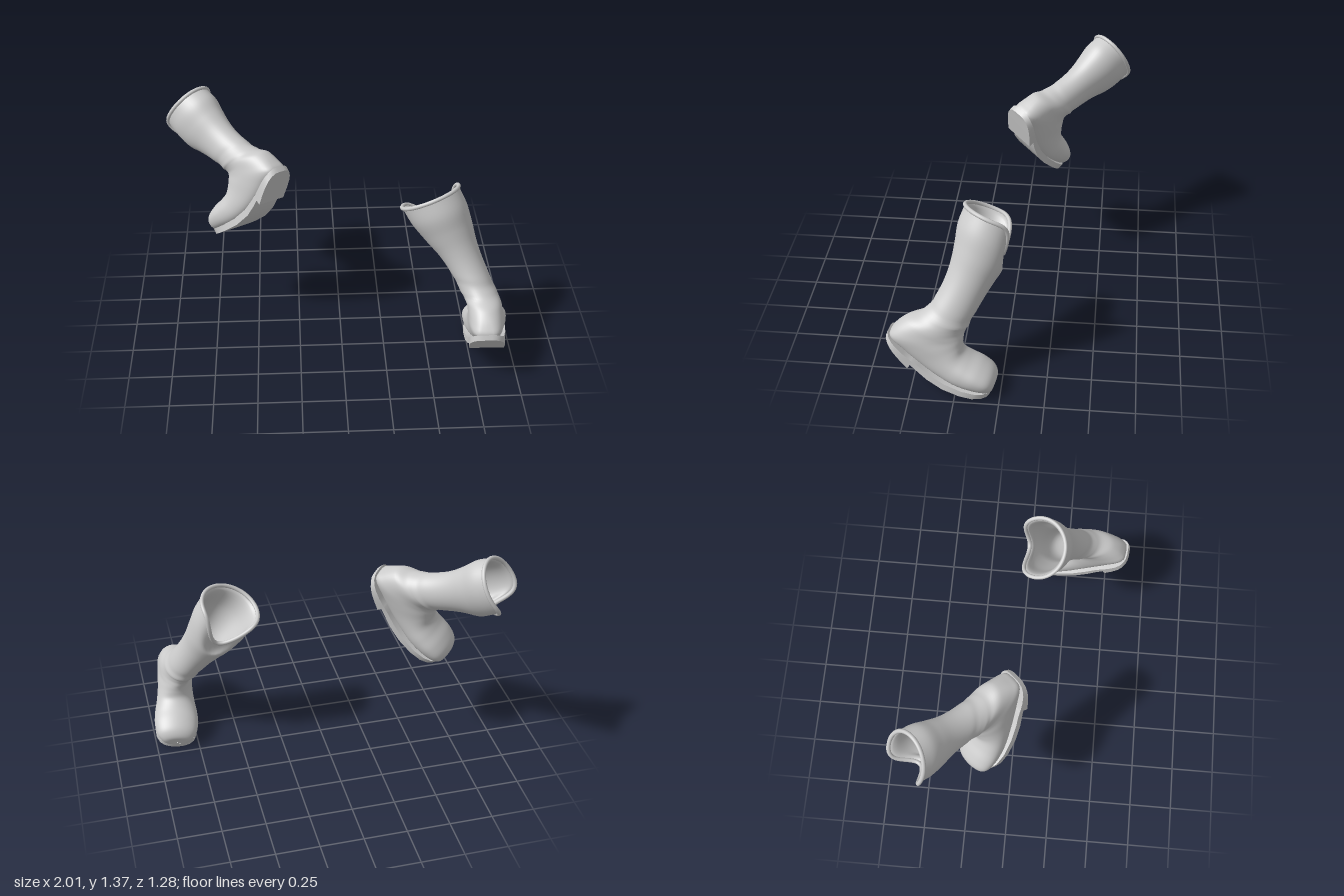
import * as THREE from 'three';
import { toCreasedNormals } from 'three/addons/utils/BufferGeometryUtils.js';

const V = (x, y, z) => new THREE.Vector3(x, y, z);

// Side profile from toe tip, round the ankle, up the shaft:
// [front z, front y, back z, back y, half width]
const UPPER = [
  [0.655, -0.02, 0.655, -0.03, 0.004],
  [0.65, 0.025, 0.65, -0.05, 0.075],
  [0.615, 0.06, 0.615, -0.06, 0.112],
  [0.545, 0.08, 0.545, -0.075, 0.13],
  [0.47, 0.088, 0.45, -0.09, 0.128],
  [0.42, 0.105, 0.34, -0.085, 0.115],
  [0.4, 0.135, 0.22, -0.06, 0.106],
  [0.39, 0.16, 0.1, -0.02, 0.104],
  [0.385, 0.18, 0.01, 0.02, 0.102],
  [0.38, 0.2, 0.015, 0.07, 0.1],
  [0.38, 0.215, 0.055, 0.15, 0.1],
  [0.382, 0.24, 0.13, 0.225, 0.1],
  [0.39, 0.32, 0.152, 0.32, 0.1],
  [0.4, 0.42, 0.157, 0.41, 0.104],
  [0.412, 0.5, 0.148, 0.5, 0.115],
  [0.43, 0.6, 0.124, 0.6, 0.138],
  [0.432, 0.7, 0.095, 0.7, 0.158],
  [0.42, 0.81, 0.09, 0.8, 0.163],
];
// Lining, from the rim back down into the leg
const LINING = [
  [0.42, 0.81, 0.09, 0.8, 0.163],
  [0.405, 0.78, 0.112, 0.78, 0.145],
  [0.408, 0.66, 0.13, 0.66, 0.13],
  [0.392, 0.5, 0.17, 0.5, 0.098],
  [0.375, 0.34, 0.175, 0.34, 0.084],
  [0.29, 0.26, 0.25, 0.26, 0.01],
];
// Sole stations from heel to toe: [z, half width, bottom y, top y]
const SOLE = [
  [-0.005, 0.025, 0.0, 0.032],
  [0.0, 0.05, -0.002, 0.03],
  [0.015, 0.073, -0.01, 0.022],
  [0.04, 0.09, -0.024, 0.012],
  [0.07, 0.099, -0.041, 0],
  [0.12, 0.102, -0.068, -0.02],
  [0.178, 0.1, -0.1, -0.042],
  [0.184, 0.1, -0.07, -0.042],
  [0.23, 0.1, -0.088, -0.055],
  [0.3, 0.106, -0.11, -0.073],
  [0.4, 0.119, -0.118, -0.08],
  [0.5, 0.127, -0.106, -0.07],
  [0.57, 0.121, -0.093, -0.057],
  [0.615, 0.102, -0.082, -0.047],
  [0.64, 0.076, -0.075, -0.04],
  [0.652, 0.045, -0.072, -0.037],
  [0.656, 0.015, -0.071, -0.036],
];

// Skins a list of closed rings
function loft(rings) {
  const n = rings[0].length, pos = [], idx = [];
  rings.forEach(r => r.forEach(p => pos.push(p.x, p.y, p.z)));
  for (let i = 0; i < rings.length - 1; i++)
    for (let j = 0; j < n; j++) {
      const a = i * n + j, b = i * n + (j + 1) % n;
      idx.push(a, b, a + n, b, b + n, a + n);
    }
  const g = new THREE.BufferGeometry();
  g.setAttribute('position', new THREE.Float32BufferAttribute(pos, 3));
  g.setIndex(idx);
  g.computeVertexNormals();
  return g;
}

// Leans and narrows the leg above the ankle, keeping its rings square to the leg
function bendLeg(p, lean) {
  const t = Math.max(0, (p.y - 0.15) / 0.6), k = 1.3 * t * t / (t + 0.1);
  const s = Math.min(1, t * 1.5) / 0.6;
  const ankle = THREE.MathUtils.smoothstep(p.y, 0.06, 0.28);
  const w = 1 + (lean.width - 1) * Math.min(1, t);
  return V(
    p.x * w + lean.x * k + lean.ankleX * ankle,
    p.y + 0.6 * t * (lean.height - 1) - s * (lean.x * p.x + lean.z * (p.z - 0.27)),
    p.z + lean.z * k + lean.ankleZ * ankle,
  );
}

// Rings along a profile, with ankle creases and a dip at the front of the rim
function profileRings(profile, lean, steps, sides = 48) {
  const front = new THREE.CatmullRomCurve3(profile.map(p => V(0, p[1], p[0])));
  const back = new THREE.CatmullRomCurve3(profile.map(p => V(p[4], p[3], p[2])));
  const rings = [];
  for (let i = 0; i <= steps; i++) {
    const a = front.getPoint(i / steps), b = back.getPoint(i / steps), ring = [];
    const foot = 1 - THREE.MathUtils.smoothstep(b.y, 0, 0.2);
    for (let j = 0; j < sides; j++) {
      const q = j / sides * Math.PI * 2, c = Math.cos(q), s = Math.sin(q);
      const square = c < 0 ? 1 - 0.5 * foot : 1;
      const fold = 1 + 0.03 * Math.exp(-(((b.y - 0.23) / 0.02) ** 2))
        - 0.025 * Math.exp(-(((b.y - 0.28 - 0.03 * s) / 0.025) ** 2));
      const x = Math.sign(s) * Math.abs(s) ** square * b.x * fold;
      const h = c * fold * 0.5;
      const p = V(x, (a.y + b.y) / 2 + (a.y - b.y) * h, (a.z + b.z) / 2 + (a.z - b.z) * h);
      const dip = THREE.MathUtils.smoothstep(p.y, 0.52, 0.8) * Math.max(0, c) ** 4;
      p.y -= 0.16 * dip;
      p.z -= 0.03 * dip;
      ring.push(bendLeg(p, lean));
    }
    rings.push(ring);
  }
  return rings;
}

function makeBoot(name, origin, toe, up, lean) {
  const boot = new THREE.Group();
  boot.name = name;
  const mat = new THREE.MeshStandardMaterial({ color: 0xcccccc, side: THREE.DoubleSide });
  const add = (geo, part) => {
    const m = new THREE.Mesh(geo, mat);
    m.name = part;
    boot.add(m);
  };

  const upper = profileRings(UPPER, lean, 102);
  add(loft(upper), 'upper');
  add(loft(profileRings(LINING, lean, 30)), 'lining');

  // Rolled rim
  const rim = new THREE.CatmullRomCurve3(upper[upper.length - 1], true);
  add(new THREE.TubeGeometry(rim, 96, 0.012, 10, true), 'rim');

  // Sole with heel block, closed to a point at both ends
  const sole = SOLE.map(([z, w, lo, hi]) => [V(w, lo, z), V(w, hi, z), V(-w, hi, z), V(-w, lo, z)]);
  const end = ([z, , lo, hi]) => Array.from({ length: 4 }, () => V(0, (lo + hi) / 2, z));
  const closed = [end(SOLE[0]), ...sole, end(SOLE[SOLE.length - 1])];
  add(toCreasedNormals(loft(closed), 0.6), 'sole');

  // Stand the boot along its toe and up directions
  const z = toe.clone().normalize();
  const x = up.clone().cross(z).normalize();
  const y = z.clone().cross(x);
  boot.quaternion.setFromRotationMatrix(new THREE.Matrix4().makeBasis(x, y, z));
  boot.position.copy(origin);
  return boot;
}

export function createModel() {
  const model = new THREE.Group();
  model.name = 'boots';
  model.add(
    makeBoot('leftBoot', V(0.805, 0.31, 0.63), V(0.115, -0.369, -0.923), V(-0.021, 0.927, -0.373),
      { x: 0.22, z: 0, ankleX: 0.02, ankleZ: 0, height: 0.97, width: 1 }),
    makeBoot('rightBoot', V(-0.335, 1.08, 0.015), V(-0.57, -0.7, -0.34), V(-0.4, 0.7, -0.6),
      { x: 0.02, z: 0.15, ankleX: 0, ankleZ: -0.035, height: 0.77, width: 0.85 }),
  );
  return model;
}
